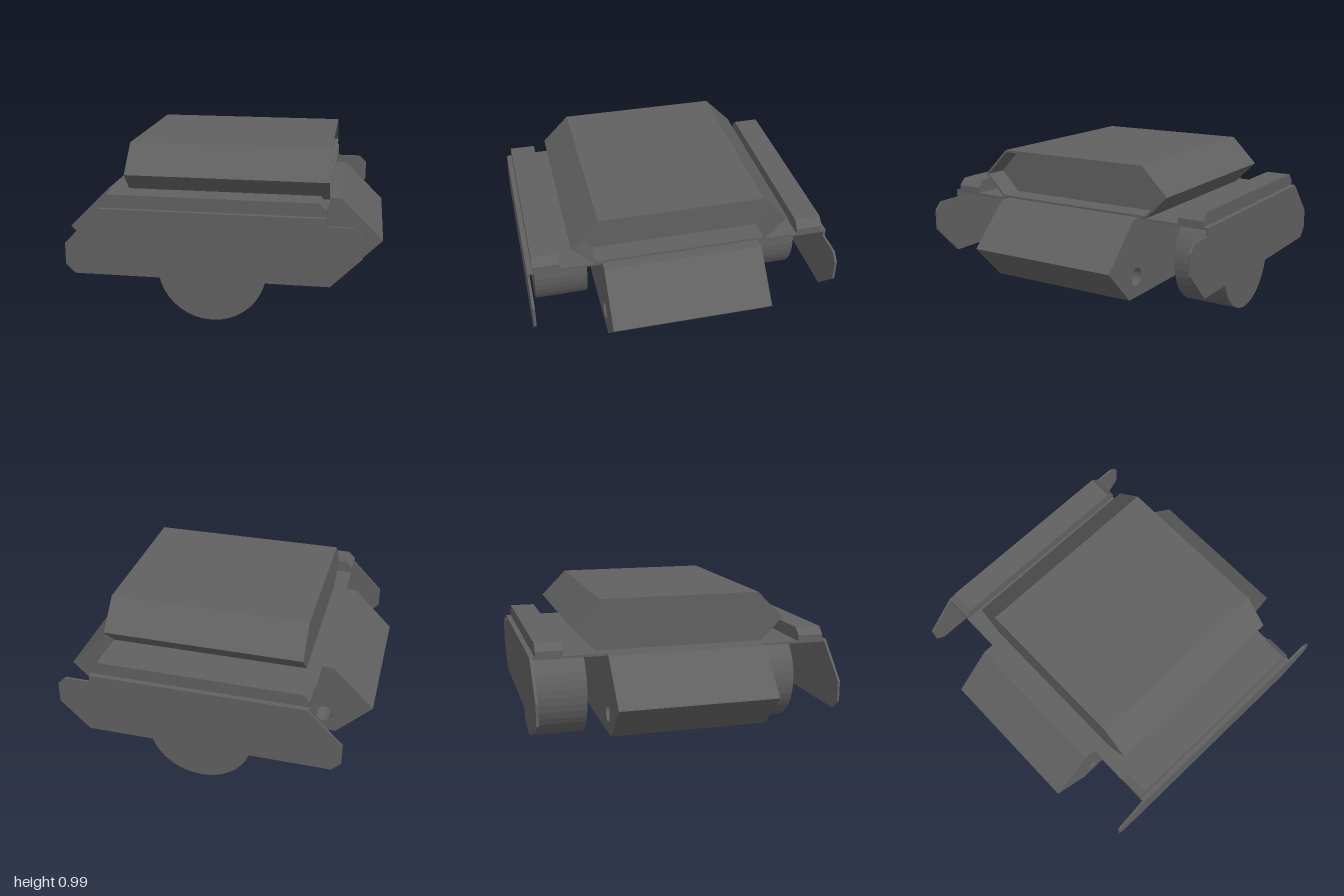
import * as THREE from 'three';

const material = new THREE.MeshStandardMaterial({ color: 0x606060, flatShading: true });

const circle = (Type, x, y, r) => new Type().absarc(x, y, r, 0, Math.PI * 2, false);
const outline = (points) => new THREE.Shape(points.map(([x, y]) => new THREE.Vector2(x, y)));

// Extrude a shape along z between two planes
function slab(name, shape, z0, z1, curveSegments = 20) {
  const geometry = new THREE.ExtrudeGeometry(shape, { depth: z1 - z0, bevelEnabled: false, curveSegments });
  geometry.translate(0, 0, z0);
  const mesh = new THREE.Mesh(geometry, material);
  mesh.name = name;
  return mesh;
}

// Hexagon in (z, y) for the upper cabin, shrunk by t for its inner lip
function cabinHexagon(t = 0) {
  const k = t * Math.SQRT2, s = t * (Math.SQRT2 - 1);
  return [
    [-0.672 + k, 0.82], [-0.532 + s, 0.68 + t], [0.532 - s, 0.68 + t],
    [0.672 - k, 0.82], [0.504 - s, 0.99 - t], [-0.504 + s, 0.99 - t],
  ];
}

export function createModel() {
  const model = new THREE.Group();
  model.name = 'vehicle';

  // Hull with three axle bores
  const hull = outline([[-1, 0.42], [-0.78, 0.2], [0.78, 0.2], [1, 0.42], [0.74, 0.68], [-0.74, 0.68]]);
  for (const x of [-0.7, 0, 0.7]) hull.holes.push(circle(THREE.Path, x, 0.325, 0.055));
  model.add(slab('hull', hull, -0.49, 0.49));

  // Cabin body, plus an open lip around its +x end
  const cabin = new THREE.Group();
  cabin.name = 'cabin';
  cabin.rotation.y = Math.PI / 2;
  cabin.add(slab('cabinBody', outline(cabinHexagon()), -0.58, 0.53));
  const lip = outline(cabinHexagon());
  lip.holes.push(outline(cabinHexagon(0.014)));
  cabin.add(slab('cabinLip', lip, 0.53, 0.67));
  model.add(cabin);

  // Matching running gear on the front and back
  const wheel = circle(THREE.Shape, 0, 0.325, 0.325);
  wheel.holes.push(circle(THREE.Path, 0, 0.325, 0.055));
  const fender = outline([[-0.67, 0.666], [0.67, 0.666], [0.67, 0.68], [-0.67, 0.68]]);
  const locker = outline([[-0.67, 0.68], [0.67, 0.68], [0.67, 0.715], [0.625, 0.76], [-0.625, 0.76], [-0.67, 0.715]]);
  const skirt = outline([
    [-0.82, 0.273], [0.7, 0.273], [0.88, 0.453], [0.88, 0.583], [0.83, 0.633],
    [0.67, 0.633], [0.67, 0.68], [-0.66, 0.68], [-0.877, 0.46], [-0.877, 0.33],
  ]);
  const parts = [
    ['Wheel', wheel, 0.54, 0.885],
    ['Fender', fender, 0.49, 0.925],
    ['Locker', locker, 0.745, 0.908],
    ['Skirt', skirt, 0.925, 0.94],
  ];
  for (const [part, shape, near, far] of parts) {
    model.add(slab('front' + part, shape, near, far));
    model.add(slab('back' + part, shape, -far, -near));
  }
  return model;
}
